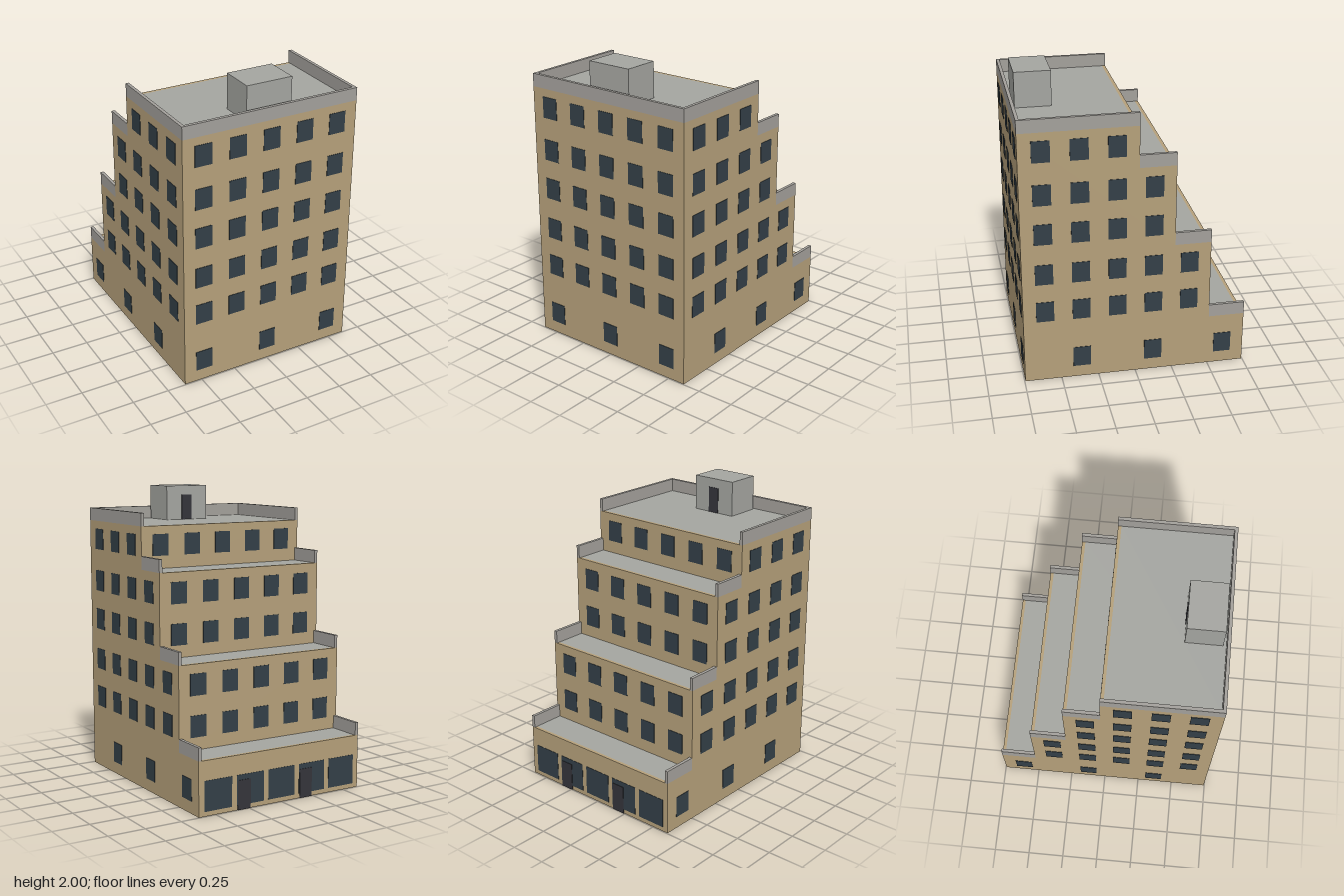
import * as THREE from 'three';

const W = 0.622, D = 0.745, T = 0.022; // half width, half depth, wall thickness
const PARAPET = 0.087;
// Stepped storeys, lowest first: back face, roof level, window rows above the previous roof
const TIERS = [
  { back: -D, roof: 0.36, rows: [0.153] },
  { back: -0.503, roof: 0.92, rows: [0.515, 0.787] },
  { back: -0.262, roof: 1.48, rows: [1.073, 1.345] },
  { back: -0.022, roof: 1.762, rows: [1.636] },
];
const COLS = [-0.48, -0.24, 0, 0.24, 0.48];
const BAYS = [0.6, 0.36, 0.12, -0.12, -0.36, -0.6];

const mat = (color) => new THREE.MeshStandardMaterial({ color });

export function createModel() {
  const model = new THREE.Group();
  const wall = mat(0xb5a07a), roofGrey = mat(0xa4a5a0), parapetGrey = mat(0xa3a09b);
  const glass = mat(0x333f47), doorDark = mat(0x34343a);

  // Box given by its limits on each axis
  function box(name, material, x0, x1, y0, y1, z0, z1, parent = model) {
    const mesh = new THREE.Mesh(new THREE.BoxGeometry(x1 - x0, y1 - y0, z1 - z0), material);
    mesh.position.set((x0 + x1) / 2, (y0 + y1) / 2, (z0 + z1) / 2);
    mesh.name = name;
    parent.add(mesh);
    return mesh;
  }

  // Stepped side walls, cut from one profile in z and y
  const profile = new THREE.Shape();
  profile.moveTo(D, 0);
  profile.lineTo(-D, 0);
  TIERS.forEach((t, i) => {
    profile.lineTo(t.back, t.roof);
    profile.lineTo(i < 3 ? TIERS[i + 1].back : D, t.roof);
  });
  const sideGeo = new THREE.ExtrudeGeometry(profile, { depth: T, bevelEnabled: false });
  sideGeo.rotateY(-Math.PI / 2);
  for (const [name, x] of [['leftWall', W], ['rightWall', -W + T]]) {
    const side = new THREE.Mesh(sideGeo, wall);
    side.name = name;
    side.position.x = x;
    model.add(side);
  }

  // Front wall and its parapet
  const top = TIERS[3].roof, inner = W - T;
  box('frontWall', wall, -inner, inner, 0, top, D - T, D);
  box('frontParapet', parapetGrey, -inner, inner, top, top + PARAPET, D - T, D);

  // Back walls, roof terraces and side parapets
  TIERS.forEach((t, i) => {
    const base = i ? TIERS[i - 1].roof - 0.015 : 0;
    const end = i < 3 ? TIERS[i + 1].back : D;
    box('backWall', wall, -inner, inner, base, t.roof, t.back, t.back + T);
    box('roofTerrace', roofGrey, -inner, inner, t.roof - 0.015, t.roof, t.back + T, D - T);
    for (const s of [-1, 1]) {
      const a = s * inner, b = s * W;
      box('sideParapet', parapetGrey, Math.min(a, b), Math.max(a, b),
        t.roof, t.roof + PARAPET, t.back, end);
    }
  });

  // Windows: thin panes standing just proud of the walls
  const windows = new THREE.Group();
  windows.name = 'windows';
  model.add(windows);
  const paneGeo = new THREE.BoxGeometry(0.118, 0.143, 0.016);
  function pane(x, y, z, turn = 0) {
    const mesh = new THREE.Mesh(paneGeo, glass);
    mesh.name = 'window';
    mesh.position.set(x, y, z);
    mesh.rotation.y = turn;
    windows.add(mesh);
  }
  const inset = 0.005; // leaves each pane 3 thousandths proud
  TIERS.forEach((t, i) => t.rows.forEach((y) => {
    COLS.forEach((x, c) => {
      if (i > 0 || c % 2 === 0) pane(x, y, D - inset);
      if (i > 0) pane(x, y, t.back + inset);
    });
    BAYS.forEach((z, b) => {
      if (z < t.back || (i === 0 && b % 2 === 0)) return;
      for (const s of [-1, 1]) pane(s * (W - inset), y, z, Math.PI / 2);
    });
  }));

  // Ground floor shop windows and doors on the stepped side
  for (const x of COLS) {
    box('shopWindow', glass, x - 0.102, x + 0.102, 0.03, 0.23, -D - 0.002, -D + 0.012, windows);
  }
  for (const x of [-0.192, 0.288]) {
    box('entranceDoor', doorDark, x - 0.048, x + 0.048, 0, 0.195, -D - 0.005, -D + 0.012);
  }

  // Stair house on the roof, with its door facing the terraces
  box('stairHouse', roofGrey, -0.16, 0.16, top, 2, 0.463, 0.703);
  box('stairHouseDoor', doorDark, -0.04, 0.04, top, top + 0.175, 0.459, 0.475);

  return model;
}
